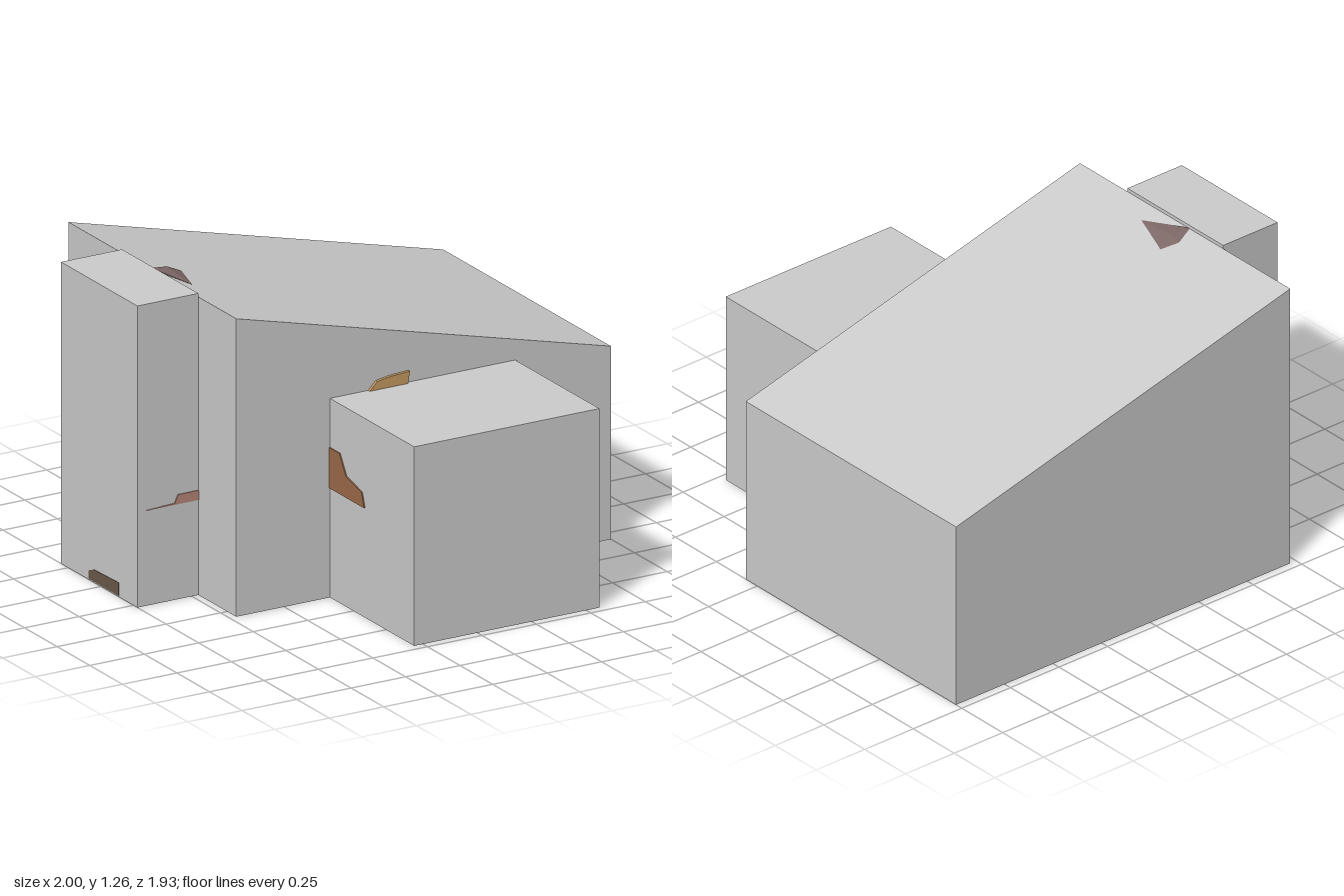
import * as THREE from 'three';
import { ConvexGeometry } from 'three/addons/geometries/ConvexGeometry.js';

const mat = (color) => new THREE.MeshStandardMaterial({ color, flatShading: true });

function makeMesh(name, geometry, color = 0xcccccc) {
  const mesh = new THREE.Mesh(geometry, mat(color));
  mesh.name = name;
  return mesh;
}

// Box given by its limits on each axis
function block(name, [x0, x1], [y0, y1], [z0, z1]) {
  const mesh = makeMesh(name, new THREE.BoxGeometry(x1 - x0, y1 - y0, z1 - z0));
  mesh.position.set((x0 + x1) / 2, (y0 + y1) / 2, (z0 + z1) / 2);
  return mesh;
}

// Outline in x, y pushed along z
function slab(name, points, depth, color) {
  const shape = new THREE.Shape(points.map(([x, y]) => new THREE.Vector2(x, y)));
  return makeMesh(name, new THREE.ExtrudeGeometry(shape, { depth, bevelEnabled: false }), color);
}

export function createModel() {
  const group = new THREE.Group();

  // House body with its single sloping roof
  const body = slab('houseBody', [[-0.72, 0], [1, 0], [1, 0.81], [-0.72, 1.25]], 1.285);
  body.position.z = -0.965;
  group.add(body);

  // Flat-topped porch and chimney
  group.add(block('porch', [-0.29, 0.56], [0, 0.835], [0.32, 0.965]));
  group.add(block('chimney', [-1, -0.72], [0, 1.265], [-0.555, 0.03]));

  // Stone showing through the roof
  const stone = [
    [-0.72, 1.25, -0.35], [-0.64, 1.23, -0.38], [-0.57, 1.212, -0.35], [-0.64, 1.23, -0.15],
    [-0.715, 1.254, -0.34], [-0.64, 1.245, -0.345], [-0.64, 1.18, -0.3],
  ].map((p) => new THREE.Vector3(...p));
  group.add(makeMesh('roofStone', new ConvexGeometry(stone), 0x7d6866));

  // Stone on the wall above the porch
  const wallStone = slab('wallStone',
    [[-0.12, 0.83], [0.06, 0.83], [0.07, 0.885], [-0.02, 0.88], [-0.08, 0.87]], 0.02, 0xc49a62);
  wallStone.position.z = 0.313;
  group.add(wallStone);

  // Ledge stone on the chimney front
  const chimneyStone = slab('chimneyStone',
    [[-0.96, 0.4], [-0.72, 0.4], [-0.72, 0.44], [-0.815, 0.44], [-0.83, 0.406]], 0.01, 0xb58478);
  chimneyStone.position.z = 0.024;
  group.add(chimneyStone);

  // Stones on both porch sides
  const right = slab('porchStoneRight',
    [[-0.6, 0.44], [-0.32, 0.44], [-0.32, 0.475], [-0.49, 0.472], [-0.51, 0.45],
      [-0.53, 0.485], [-0.575, 0.488], [-0.6, 0.47]], 0.01, 0xc4623a);
  right.rotation.y = Math.PI / 2;
  right.position.x = 0.555;
  const left = slab('porchStoneLeft',
    [[0.32, 0.46], [0.59, 0.46], [0.57, 0.52], [0.45, 0.55], [0.4, 0.63], [0.32, 0.63]], 0.01, 0x9a6a48);
  left.rotation.y = -Math.PI / 2;
  left.position.x = -0.285;
  group.add(right, left);

  // Stone at the foot of the chimney's outer side
  const foot = slab('footStone',
    [[-0.34, 0.005], [-0.11, 0.005], [-0.11, 0.06], [-0.3, 0.055], [-0.34, 0.04]], 0.006, 0x6a5a48);
  foot.rotation.y = -Math.PI / 2;
  foot.position.x = -0.996;
  group.add(foot);

  return group;
}
